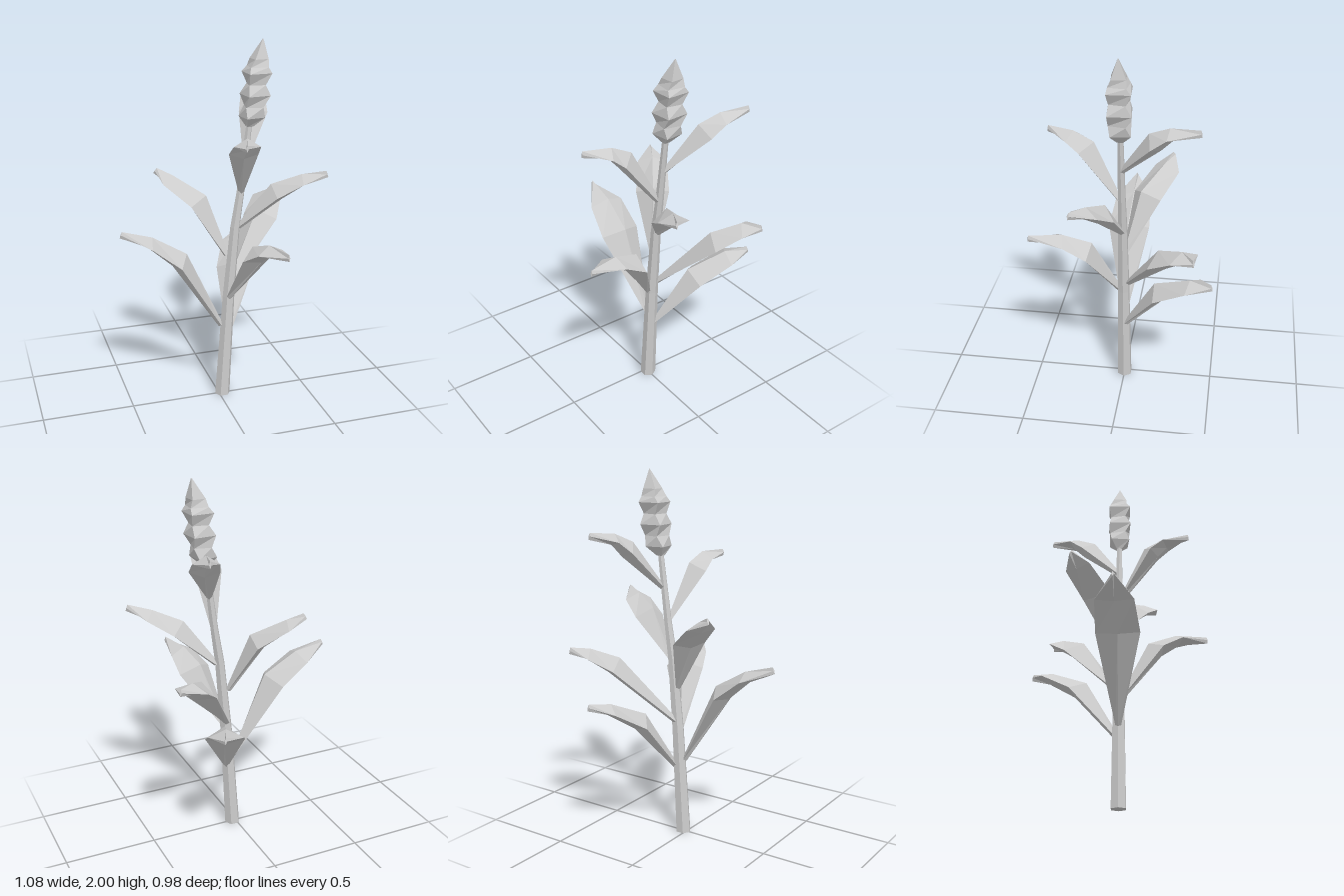
import * as THREE from 'three';

const V = (x, y, z) => new THREE.Vector3(x, y, z);
const material = new THREE.MeshStandardMaterial({ color: 0xcccccc, flatShading: true, side: THREE.DoubleSide });

// Skin a series of equal-sized rings (counter-clockwise seen from the far end), closing both ends
function loft(name, rings) {
  const n = rings[0].length, index = [];
  for (let i = 0; i < rings.length - 1; i++) {
    for (let k = 0; k < n; k++) {
      const a = i * n + k, b = i * n + (k + 1) % n;
      index.push(a, b, b + n, a, b + n, a + n);
    }
  }
  const last = (rings.length - 1) * n;
  for (let k = 1; k < n - 1; k++) {
    index.push(0, k + 1, k, last, last + k, last + k + 1);
  }
  const indexed = new THREE.BufferGeometry().setFromPoints(rings.flat());
  indexed.setIndex(index);
  const geometry = indexed.toNonIndexed();
  geometry.computeVertexNormals();
  const mesh = new THREE.Mesh(geometry, material);
  mesh.name = name;
  return mesh;
}

// Horizontal polygon ring
function ring(x, y, r, sides, turn = 0) {
  return Array.from({ length: sides }, (_, k) => {
    const a = turn + (k / sides) * Math.PI * 2;
    return V(x + r * Math.cos(a), y, -r * Math.sin(a));
  });
}

// Thick ridged leaf: kite cross-sections along a bent midrib of base, middle, outer and tip points
function leaf(name, points, midWidth, outerWidth) {
  const spine = points.map((p) => V(...p));
  const along = spine[3].clone().sub(spine[0]).setY(0).normalize();
  const side = V(along.z, 0, -along.x);
  const widths = [0.015, midWidth, outerWidth, 0.006];
  const ridge = [0.014, 0.058, 0.034, 0.018];
  const edge = [0, -0.012, -0.008, 0];
  const keel = [-0.014, -0.042, -0.026, -0.018];
  return loft(name, spine.map((p, i) => {
    const tangent = spine[Math.min(i + 1, 3)].clone().sub(spine[Math.max(i - 1, 0)]).normalize();
    const up = tangent.cross(side).normalize();
    return [[widths[i], edge[i]], [0, ridge[i]], [-widths[i], edge[i]], [0, keel[i]]]
      .map(([s, u]) => p.clone().addScaledVector(side, s).addScaledVector(up, u));
  }));
}

export function createModel() {
  const plant = new THREE.Group();
  plant.name = 'plant';

  // Leaning, tapering stem: x, y, radius
  plant.add(loft('stem', [
    [0.02, 0, 0.043], [0.055, 0.6, 0.034], [0.09, 1, 0.027], [0.12, 1.2, 0.022], [0.167, 1.58, 0.016],
  ].map(([x, y, r]) => ring(x, y, r, 6))));

  // Knobbly flower spike: x, y, radius, twist
  plant.add(loft('flowerSpike', [
    [0.165, 1.55, 0.022, 0], [0.178, 1.6, 0.073, 0.15], [0.188, 1.655, 0.064, -0.2],
    [0.195, 1.715, 0.086, 0.1], [0.2, 1.77, 0.06, -0.15], [0.203, 1.83, 0.086, 0.05],
    [0.207, 1.86, 0.066, -0.1], [0.214, 1.9, 0.052, 0.1], [0.234, 2, 0.002, 0],
  ].map(([x, y, r, t]) => ring(x, y, r, 4, Math.PI / 4 + t))));

  // Leaves from the bottom of the stem to the top: midrib, half-widths
  const leaves = [
    ['leftLowerLeaf', [[0.01, 0.43, 0], [-0.23, 0.845, 0.01], [-0.385, 0.96, 0], [-0.535, 1.02, 0]], 0.115, 0.1],
    ['backLowerLeaf', [[0.06, 0.38, -0.01], [0.16, 0.675, -0.215], [0.23, 0.775, -0.385], [0.28, 0.805, -0.49]], 0.105, 0.09],
    ['frontLowerLeaf', [[0.05, 0.6, 0.02], [0.15, 0.9, 0.2], [0.175, 0.965, 0.32], [0.215, 0.985, 0.485]], 0.105, 0.08],
    ['backMiddleLeaf', [[0.06, 0.65, -0.02], [0.315, 0.97, -0.235], [0.395, 1.045, -0.345], [0.475, 1.065, -0.4]], 0.105, 0.09],
    ['leftMiddleLeaf', [[0.045, 0.84, -0.01], [-0.085, 1.13, -0.105], [-0.22, 1.235, -0.2], [-0.29, 1.285, -0.235]], 0.09, 0.08],
    ['rightMiddleLeaf', [[0.11, 1, 0], [0.3, 1.2, 0.08], [0.425, 1.275, 0.14], [0.53, 1.315, 0.2]], 0.085, 0.078],
    ['frontUpperLeaf', [[0.12, 1.2, 0.01], [0.07, 1.465, 0.19], [0.065, 1.52, 0.265], [0.02, 1.535, 0.395]], 0.075, 0.068],
    ['backUpperLeaf', [[0.15, 1.38, -0.005], [0.25, 1.59, -0.185], [0.275, 1.65, -0.265], [0.315, 1.68, -0.405]], 0.078, 0.068],
  ];
  leaves.forEach((l) => plant.add(leaf(...l)));

  return plant;
}
